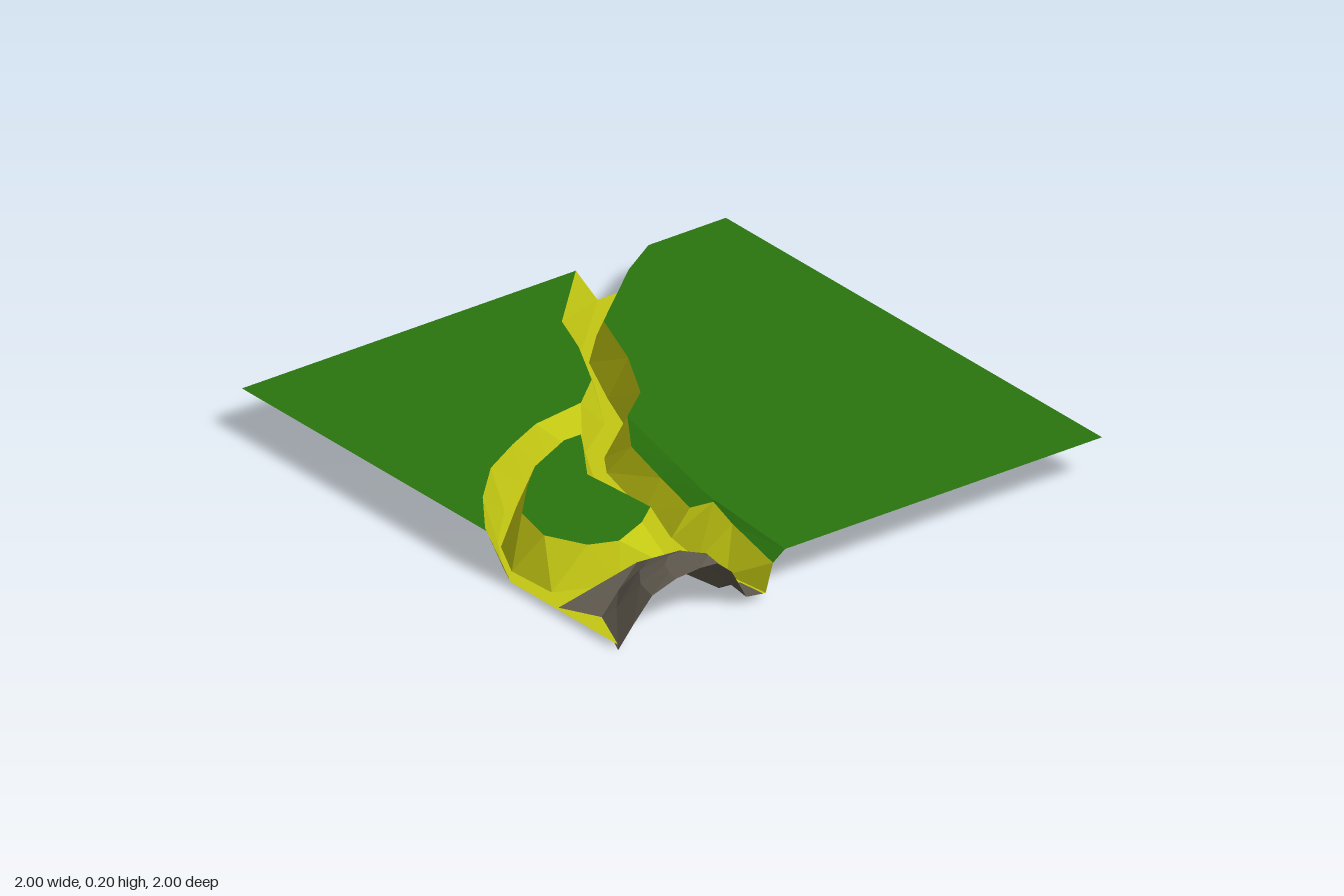
import * as THREE from 'three';

const TOP = 0.155, BED = 0.02;

function material(color) {
  return new THREE.MeshStandardMaterial({ color, flatShading: true, side: THREE.DoubleSide });
}
const grass = material(0x2a760e), sand = material(0xc3c712), stone = material(0x5f594e);

// Horizontal sheet from an [x, z] outline, with optional holes
function sheet(name, y, outline, mat, holes = []) {
  const toV = ([x, z]) => new THREE.Vector2(x, -z);
  const shape = new THREE.Shape(outline.map(toV));
  shape.holes = holes.map((h) => new THREE.Path(h.map(toV)));
  const geo = new THREE.ShapeGeometry(shape).rotateX(-Math.PI / 2).translate(0, y, 0);
  const mesh = new THREE.Mesh(geo, mat);
  mesh.name = name;
  return mesh;
}

// Skin through rows of [x, y, z] points; rows share the same length
function skin(name, rows, mat) {
  const n = rows[0].length, index = [];
  for (let r = 0; r < rows.length - 1; r++) {
    for (let i = 0; i < n - 1; i++) {
      const a = r * n + i, b = a + n;
      index.push(a, b, a + 1, a + 1, b, b + 1);
    }
  }
  const geo = new THREE.BufferGeometry();
  geo.setAttribute('position', new THREE.Float32BufferAttribute(rows.flat(2), 3));
  geo.setIndex(index);
  geo.computeVertexNormals();
  const mesh = new THREE.Mesh(geo, mat);
  mesh.name = name;
  return mesh;
}

// Bank stations: [lip x, lip z, foot x, foot z, lip height]
const northBank = [
  [-1, -0.68, -1, -0.57], [-0.9, -0.52, -0.89, -0.42], [-0.8, -0.4, -0.8, -0.31],
  [-0.66, -0.23, -0.66, -0.17], [-0.4, -0.13, -0.42, -0.06], [-0.18, -0.01, -0.22, 0.02],
  [-0.07, 0.13, -0.09, 0.21], [0.08, 0.23, 0, 0.27, 0.135], [0.3, 0.28, 0.3, 0.35, 0.125],
  [0.52, 0.33, 0.5, 0.39, 0.12], [0.58, 0.28, 0.68, 0.42, 0.15], [0.72, 0.31, 0.82, 0.41, 0.135],
  [1, 0.36, 1, 0.39, 0.12],
];
const southBank = [
  [-1, -0.38, -1, -0.47], [-0.74, -0.12, -0.7, -0.16], [-0.56, -0.05, -0.55, -0.1],
  [-0.35, 0.06, -0.28, 0.06], [-0.24, 0.19, -0.14, 0.26], [-0.21, 0.4, -0.15, 0.4],
  [-0.14, 0.55, -0.09, 0.54], [-0.05, 0.71, 0.01, 0.7], [0.1, 0.86, 0.18, 0.86],
  [0.28, 0.99, 0.34, 0.96], [0.3, 1, 0.43, 1],
];
const islandBank = [
  [-0.06, 0.33, -0.11, 0.31], [0.01, 0.375, 0.01, 0.33], [0.18, 0.49, 0.2, 0.41],
  [0.32, 0.48, 0.3, 0.4], [0.49, 0.47, 0.52, 0.4], [0.56, 0.56, 0.68, 0.52],
  [0.62, 0.7, 0.66, 0.73], [0.58, 0.8, 0.57, 0.94], [0.44, 0.87, 0.37, 0.95],
  [0.27, 0.83, 0.21, 0.87], [0.13, 0.7, 0.01, 0.65], [0.03, 0.59, -0.05, 0.52],
  [-0.06, 0.4, -0.12, 0.38],
];
const lip = (bank) => bank.map(([x, z]) => [x, z]);
const foot = (bank) => bank.map((p) => [p[2], p[3]]);

function bankMesh(name, bank, closed = false) {
  const pts = closed ? [...bank, bank[0]] : bank;
  return skin(name, [
    pts.map(([x, z, , , y = TOP]) => [x, y, z]),
    pts.map(([, , x, z]) => [x, BED, z]),
  ], sand);
}

// Rock shell rings, from the ground up; the shell is open at the tile edge
const rockRings = [
  [[1, 0.02, 0.4], [0.89, 0.02, 0.41], [0.88, 0.02, 0.49], [0.69, 0.02, 0.52],
    [0.67, 0.02, 0.76], [0.67, 0.02, 0.99], [0.81, 0.02, 0.92], [1, 0, 1]],
  [[1, 0.03, 0.47], [0.93, 0.06, 0.49], [0.87, 0.1, 0.52], [0.76, 0.13, 0.57],
    [0.74, 0.13, 0.72], [0.77, 0.07, 0.82], [0.85, 0.06, 0.89], [1, 0.07, 0.94]],
  [[1, 0.14, 0.53], [0.94, 0.15, 0.54], [0.89, 0.17, 0.55], [0.82, 0.17, 0.61],
    [0.8, 0.165, 0.71], [0.83, 0.155, 0.78], [0.9, 0.15, 0.83], [1, 0.155, 0.86]],
  [[1, 0.19, 0.59], [0.95, 0.2, 0.59], [0.91, 0.2, 0.61], [0.87, 0.2, 0.64],
    [0.87, 0.197, 0.69], [0.9, 0.19, 0.73], [0.95, 0.188, 0.75], [1, 0.187, 0.76]],
  Array.from({ length: 8 }, () => [1, 0.195, 0.66]),
];

export function createModel() {
  const model = new THREE.Group();
  model.name = 'riverTile';

  // Edge where the level northern grass starts dipping to the river
  const dipEdge = [[-0.07, 0.13], [0.08, 0.165], [0.3, 0.215], [0.52, 0.266],
    [0.58, 0.275], [0.72, 0.287], [1, 0.31]];
  const northLip = lip(northBank);

  // Grass sheets
  model.add(
    sheet('northGrass', TOP, [...northLip.slice(0, 6), ...dipEdge, [1, -1], [-1, -1]], grass),
    sheet('southGrass', TOP, [...lip(southBank), [-1, 1]], grass),
    sheet('islandGrass', TOP, lip(islandBank), grass),
    skin('grassSlope', [
      dipEdge.map(([x, z]) => [x, TOP, z]),
      northBank.slice(6).map(([x, z, , , y = TOP]) => [x, y, z]),
    ], grass),
  );

  // Banks and river bed
  model.add(
    bankMesh('northBank', northBank),
    bankMesh('southBank', southBank),
    bankMesh('islandBank', islandBank, true),
    sheet('riverBed', BED, [
      ...foot(northBank),
      ...rockRings[0].map(([x, , z]) => [x, z]),
      ...foot(southBank).reverse(),
    ], sand, [foot(islandBank)]),
  );

  // Hollow rock over the river mouth
  model.add(skin('rock', rockRings, stone));
  return model;
}
